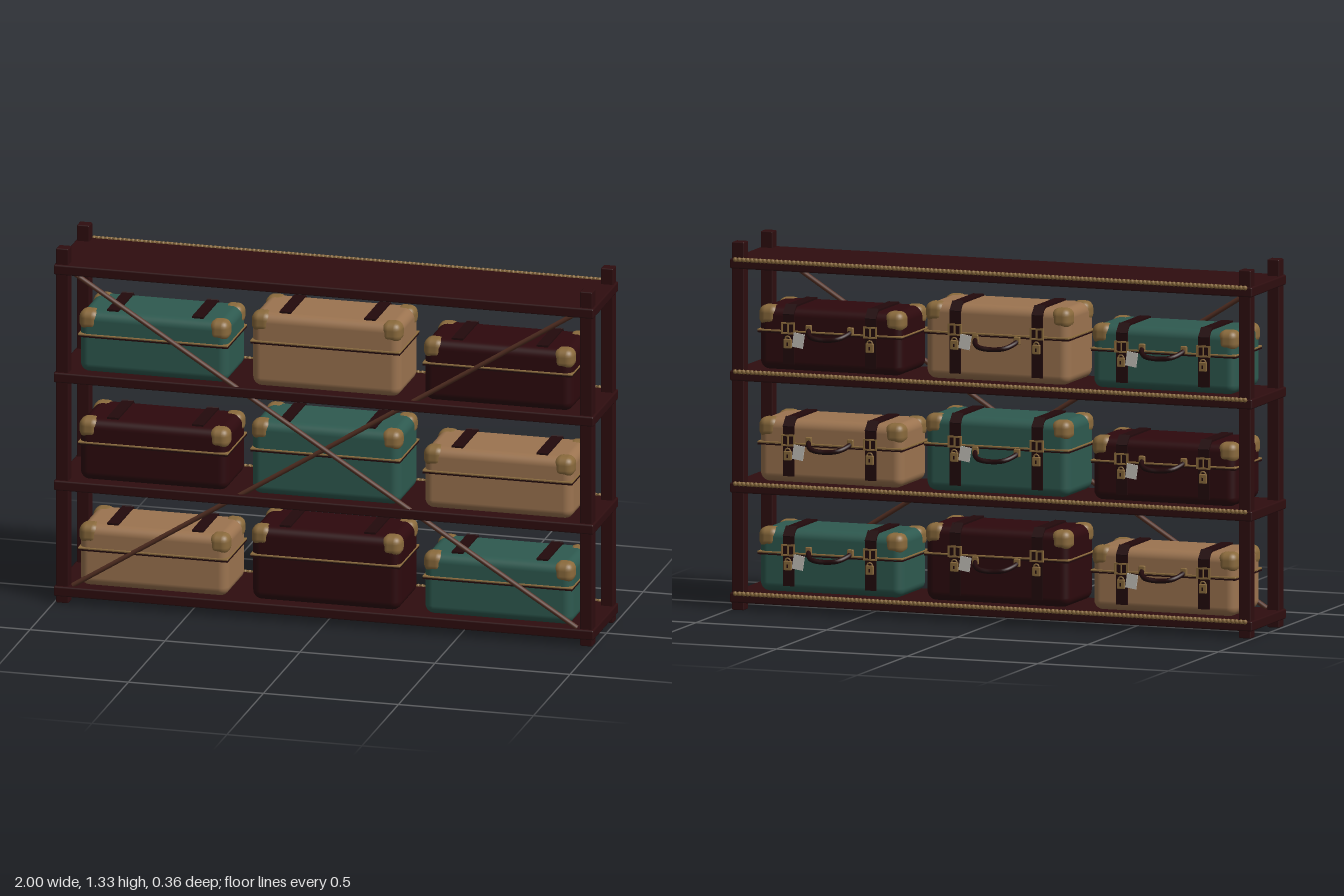
import * as THREE from 'three';
import { mergeGeometries } from 'three/addons/utils/BufferGeometryUtils.js';
import { RoundedBoxGeometry } from 'three/addons/geometries/RoundedBoxGeometry.js';

const mat = (name, color) => {
  const m = new THREE.MeshStandardMaterial({ color });
  m.name = name;
  return m;
};

export function createModel() {
  const wood = mat('dark wood', 0x2e0d0f);
  const oxblood = mat('oxblood leather', 0x2d090d);
  const tan = mat('tan leather', 0x9c7450);
  const teal = mat('teal leather', 0x2e5a50);
  const strapLeather = mat('strap leather', 0x220a0c);
  const brass = mat('brass', 0x8a6a3c);
  const copper = mat('copper brown', 0x553023);
  const paper = mat('paper tag', 0xcac6bf);

  const root = new THREE.Group();
  root.name = 'luggageRack';

  const add = (parent, name, geo, material, x = 0, y = 0, z = 0) => {
    const m = new THREE.Mesh(geo, material);
    m.name = name;
    m.position.set(x, y, z);
    parent.add(m);
    return m;
  };
  const box = (w, h, d) => new THREE.BoxGeometry(w, h, d);
  const rbox = (w, h, d, r, s = 3) => new RoundedBoxGeometry(w, h, d, s, r);

  // Posts
  for (const x of [-0.97, 0.97])
    for (const z of [0.147, -0.138])
      add(root, 'post', rbox(0.046, 1.33, 0.046, 0.004, 1), wood, x, 0.665, z);

  // Shelves, each with a beaded rail along the back edge
  const beads = [box(1.96, 0.012, 0.008)];
  for (let x = -0.976; x <= 0.977; x += 0.016) {
    const bead = new THREE.SphereGeometry(0.009, 6, 4);
    bead.translate(x, 0, -0.001);
    beads.push(bead);
  }
  const railGeo = mergeGeometries(beads);
  const shelfY = [0.045, 0.442, 0.847, 1.252];
  for (const y of shelfY) {
    add(root, 'shelf', rbox(2, 0.037, 0.346, 0.006, 1), wood, 0, y, 0.007);
    add(root, 'backRail', railGeo, brass, 0, y + 0.016, -0.17);
  }

  // Crossed braces on the front
  const dx = 1.87, dy = 1.18;
  for (const s of [-1, 1]) {
    const brace = add(root, 'crossBrace', new THREE.CylinderGeometry(0.009, 0.009, Math.hypot(dx, dy), 10),
      copper, 0, 0.655, 0.158 + s * 0.005);
    brace.rotation.z = s * Math.atan2(dx, dy);
  }

  // One suitcase: base at y = 0, handle and straps on the -z side
  const W = 0.55, D = 0.26;
  const handleCurve = new THREE.CatmullRomCurve3([
    [-0.08, 0.155, -0.125], [-0.075, 0.145, -0.152], [-0.05, 0.132, -0.184], [0, 0.126, -0.186],
    [0.05, 0.132, -0.184], [0.075, 0.145, -0.152], [0.08, 0.155, -0.125],
  ].map(p => new THREE.Vector3(...p)));
  const handleGeo = new THREE.TubeGeometry(handleCurve, 24, 0.009, 8);
  const shackleGeo = new THREE.TorusGeometry(0.01, 0.003, 6, 12, Math.PI);

  function suitcase(h, leather) {
    const g = new THREE.Group();
    g.name = 'suitcase';
    const rim = h * 0.625, back = -D / 2;
    add(g, 'body', rbox(W, h, D, 0.034, 5), leather, 0, h / 2, 0);
    add(g, 'rim', rbox(W + 0.006, 0.007, D + 0.01, 0.003, 1), brass, 0, rim, 0);
    add(g, 'rimGroove', box(W + 0.003, 0.005, D + 0.005), strapLeather, 0, rim - 0.007, 0);

    // Brass caps on the four upper corners
    const c = 0.075, out = 0.003;
    for (const sx of [-1, 1])
      for (const sz of [-1, 1])
        add(g, 'cornerCap', rbox(c, c, c, 0.028, 3), brass,
          sx * (W / 2 + out - c / 2), h + out - c / 2, sz * (D / 2 + out - c / 2));

    for (const sx of [-1, 1]) {
      const x = sx * 0.157;
      // Strap over the lid, round the edge and down the back
      add(g, 'lidStrap', box(0.042, 0.007, D - 0.05), strapLeather, x, h + 0.003, -0.005);
      const bend = add(g, 'strapBend', box(0.042, 0.046, 0.012), strapLeather, x, h - 0.011, back + 0.011);
      bend.rotation.x = Math.PI / 4;
      add(g, 'backStrap', box(0.042, h - 0.05, 0.007), strapLeather, x, h / 2, back - 0.004);

      // Buckle frame
      for (const s of [-1, 1]) {
        add(g, 'buckleBar', box(0.052, 0.006, 0.007), brass, x, rim + 0.012 + s * 0.018, back - 0.01);
        add(g, 'buckleSide', box(0.006, 0.036, 0.007), brass, x + s * 0.023, rim + 0.012, back - 0.01);
      }
      add(g, 'bucklePin', box(0.005, 0.036, 0.005), brass, x, rim + 0.012, back - 0.011);

      // Padlock
      add(g, 'padlock', rbox(0.03, 0.034, 0.012, 0.003, 1), brass, x, rim - 0.043, back - 0.013);
      add(g, 'shackle', shackleGeo, brass, x, rim - 0.027, back - 0.013);
      add(g, 'keyhole', box(0.005, 0.012, 0.002), strapLeather, x, rim - 0.044, back - 0.0195);

      // Handle mounts
      add(g, 'handleMount', rbox(0.024, 0.03, 0.014, 0.004, 1), brass, sx * 0.08, 0.155, back - 0.004);
    }
    add(g, 'handle', handleGeo, strapLeather);

    // Paper tag beside one strap
    const tag = add(g, 'paperTag', box(0.042, 0.052, 0.004), paper, 0.116, rim - 0.03, back - 0.014);
    tag.rotation.z = 0.15;
    return g;
  }

  // Three suitcases per shelf, colours shifting from row to row
  const rows = [[tan, oxblood, teal], [oxblood, teal, tan], [teal, tan, oxblood]];
  rows.forEach((row, r) => row.forEach((leather, i) => {
    const s = suitcase(i === 1 ? 0.275 : 0.229, leather);
    s.position.set((i - 1) * 0.638, shelfY[r] + 0.0195, 0.024);
    root.add(s);
  }));

  return root;
}
